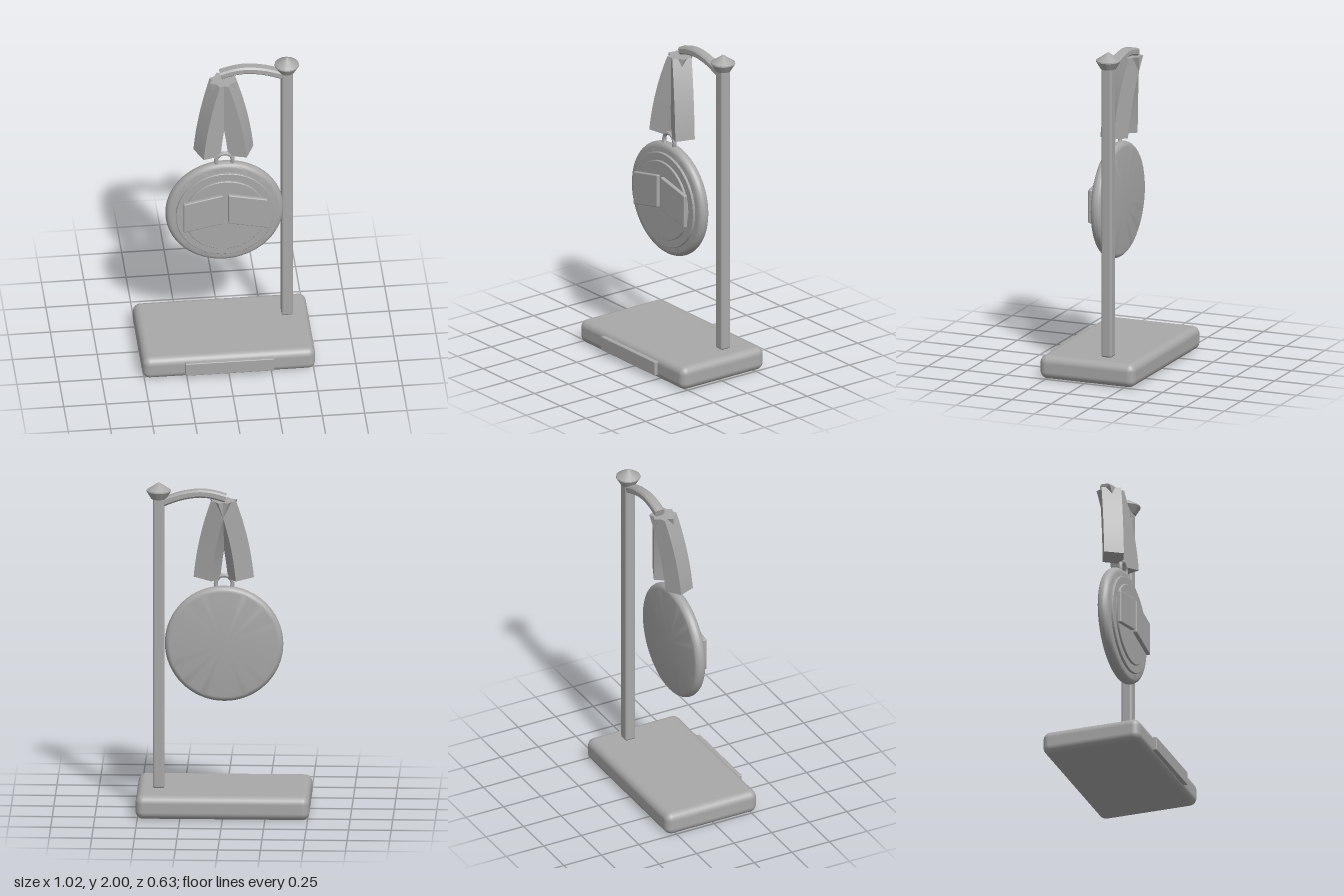
import * as THREE from 'three';
import { RoundedBoxGeometry } from 'three/addons/geometries/RoundedBoxGeometry.js';
import { toCreasedNormals } from 'three/addons/utils/BufferGeometryUtils.js';

// Closed solid through rings of points, each ring counter-clockwise about the travel direction
function loft(rings) {
  const pos = [];
  const tri = (...pts) => pts.forEach((p) => pos.push(p.x, p.y, p.z));
  const n = rings[0].length;
  for (let r = 0; r < rings.length - 1; r++) {
    const a = rings[r], b = rings[r + 1];
    for (let i = 0; i < n; i++) {
      const j = (i + 1) % n;
      tri(a[i], a[j], b[j]);
      tri(a[i], b[j], b[i]);
    }
  }
  const first = rings[0], last = rings[rings.length - 1];
  for (let i = 1; i < n - 1; i++) {
    tri(first[0], first[i + 1], first[i]);
    tri(last[0], last[i], last[i + 1]);
  }
  const g = new THREE.BufferGeometry();
  g.setAttribute('position', new THREE.Float32BufferAttribute(pos, 3));
  g.computeVertexNormals();
  return toCreasedNormals(g, 0.4);
}

// Lathe from [radius, height] points, with sharp edges kept
function turned(points, segments = 64) {
  const g = new THREE.LatheGeometry(points.map(([x, y]) => new THREE.Vector2(x, y)), segments);
  return toCreasedNormals(g, 0.5);
}

export function createModel() {
  const model = new THREE.Group();
  const grey = new THREE.MeshStandardMaterial({ color: 0xa8a8a8 });
  grey.name = 'grey';

  const add = (name, geometry, x = 0, y = 0, z = 0, parent = model) => {
    const m = new THREE.Mesh(geometry, grey);
    m.name = name;
    m.position.set(x, y, z);
    parent.add(m);
    return m;
  };

  // Stand: base, plaque, post and finial
  add('base', new RoundedBoxGeometry(1.02, 0.142, 0.607, 5, 0.045), 0, 0.075, -0.012);
  add('plaque', new RoundedBoxGeometry(0.524, 0.085, 0.05, 2, 0.005), 0, 0.077, 0.289);
  add('post', new RoundedBoxGeometry(0.068, 1.76, 0.068, 3, 0.014), 0.38, 1.03, -0.1);
  add('finial', turned([[0, 1.9], [0.045, 1.9], [0.072, 1.945], [0.071, 1.952], [0, 2]], 48), 0.38, 0, -0.1);

  // Arm: chamfered bar swept along a gentle arch
  const arch = new THREE.CatmullRomCurve3([
    [-0.013, 1.907], [0.065, 1.928], [0.14, 1.935], [0.25, 1.918], [0.37, 1.875],
  ].map(([x, y]) => new THREE.Vector3(x, y, -0.1)));
  const h = 0.023, w = 0.031, c = 0.01;
  const bar = [[h, -w + c], [h, w - c], [h - c, w], [-h + c, w], [-h, w - c], [-h, -w + c], [-h + c, -w], [h - c, -w]];
  const armRings = [];
  for (let i = 0; i <= 16; i++) {
    const p = arch.getPoint(i / 16), t = arch.getTangent(i / 16);
    armRings.push(bar.map(([u, z]) => new THREE.Vector3(p.x - t.y * u, p.y + t.x * u, p.z + z)));
  }
  add('arm', loft(armRings));

  // Ribbons: square section drifting outwards and forwards, crossing at the top
  const section = [[-0.075, -0.1], [-0.025, 0.005], [0.08, -0.045], [0.03, -0.148]];
  for (const side of [1, -1]) {
    const rings = [];
    for (let i = 12; i >= 0; i--) {
      const t = i / 12, f = 1.6 * t - 0.6 * t * t;
      const ring = section.map(([x, z]) => new THREE.Vector3(
        side * (x - 0.102 * f), 1.885 - 0.482 * t - 0.15 * t * x, z + 0.054 * f));
      rings.push(side > 0 ? ring : ring.reverse());
    }
    add(side > 0 ? 'rightRibbon' : 'leftRibbon', loft(rings));
  }

  // Medal: ring, rounded disc, two stepped plates and an open pair of pages
  const medal = new THREE.Group();
  medal.name = 'medal';
  medal.position.set(0, 1, 0);
  model.add(medal);
  add('hangingRing', new THREE.TorusGeometry(0.049, 0.012, 12, 40), 0, 0.361, 0.008, medal);

  const rim = [[0, -0.033]];
  for (let i = 0; i <= 12; i++) {
    const a = -Math.PI / 2 + (Math.PI * i) / 12;
    rim.push([0.316 + 0.032 * Math.cos(a), 0.002 + 0.035 * Math.sin(a)]);
  }
  rim.push([0, 0.037]);
  const plate = (r, back, front) =>
    turned([[0, back], [r, back], [r, front - 0.003], [r - 0.003, front], [0, front]]);
  [
    ['disc', turned(rim)],
    ['outerPlate', plate(0.29, 0.03, 0.051)],
    ['innerPlate', plate(0.242, 0.045, 0.064)],
  ].forEach(([name, g]) => add(name, g.rotateX(Math.PI / 2), 0, 0, 0, medal));

  // Pages: rounded boxes sheared so the outer edges drop
  for (const side of [1, -1]) {
    const g = new RoundedBoxGeometry(0.232, 0.203, 0.026, 3, 0.007);
    const shear = new THREE.Matrix4().set(1, 0, 0, 0, -side * 0.21, 1, 0, 0, 0, 0, 1, 0, 0, 0, 0, 1);
    g.applyMatrix4(shear);
    add(side > 0 ? 'leftPage' : 'rightPage', g, side * 0.132, 0.032, 0.074, medal);
  }

  return model;
}
